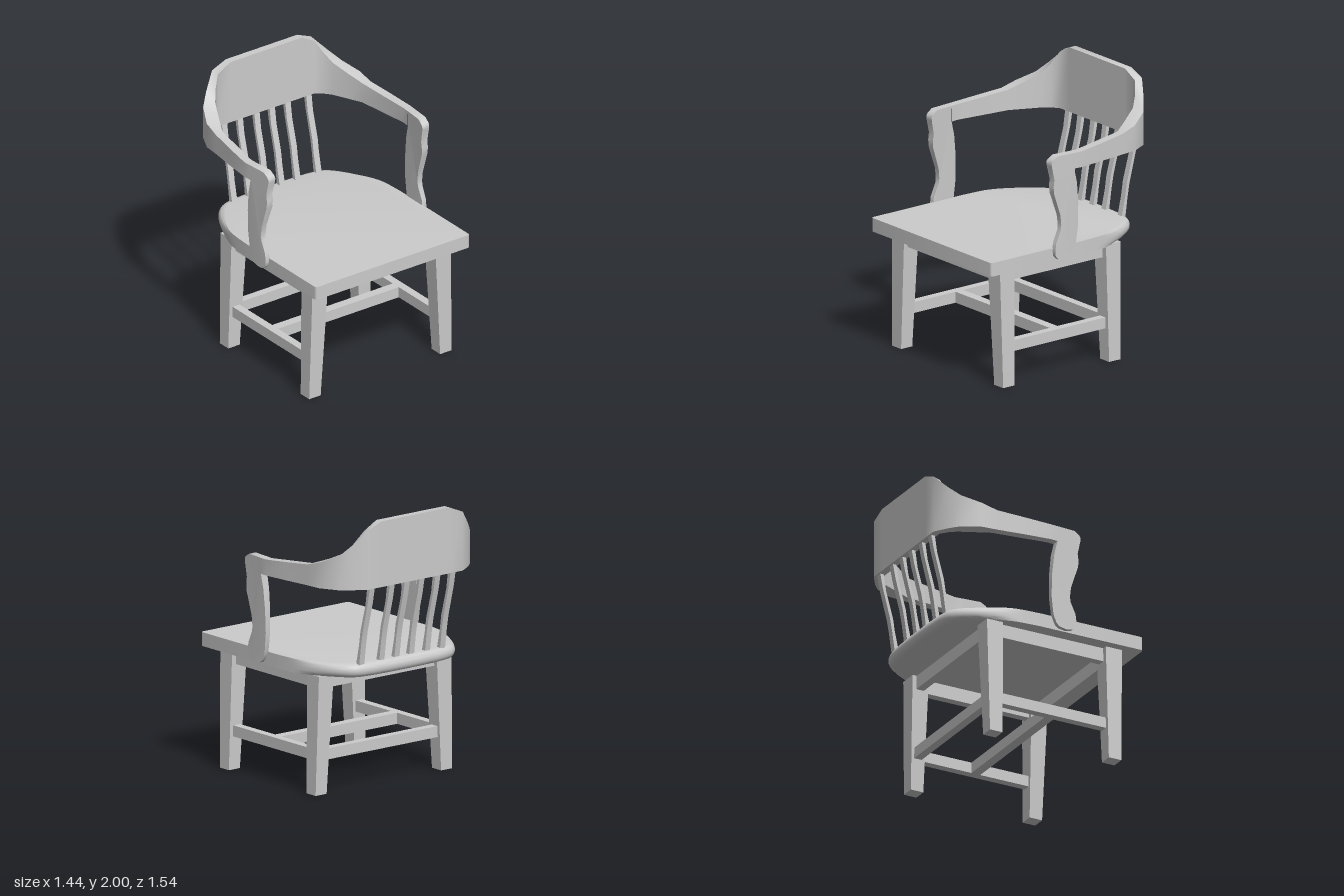
import * as THREE from 'three';
import { toCreasedNormals } from 'three/addons/utils/BufferGeometryUtils.js';

const V2 = (p) => new THREE.Vector2(p[0], p[1]);

export function createModel() {
  const chair = new THREE.Group();
  chair.name = 'armchair';
  const material = new THREE.MeshStandardMaterial({ color: 0xcccccc });

  function add(name, geometry, crease = 0.7) {
    const mesh = new THREE.Mesh(toCreasedNormals(geometry, crease), material);
    mesh.name = name;
    chair.add(mesh);
    return mesh;
  }

  // Box given by its limits
  function bar(name, x0, x1, y0, y1, z0, z1) {
    const g = new THREE.BoxGeometry(x1 - x0, y1 - y0, z1 - z0);
    g.translate((x0 + x1) / 2, (y0 + y1) / 2, (z0 + z1) / 2);
    add(name, g);
  }

  // Apply a rule to every vertex of a geometry
  function moveVertices(g, rule) {
    const pos = g.attributes.position;
    const v = new THREE.Vector3();
    for (let i = 0; i < pos.count; i++) {
      v.fromBufferAttribute(pos, i);
      rule(v);
      pos.setXYZ(i, v.x, v.y, v.z);
    }
    return g;
  }

  // Side profile of [z, y] points, extruded across x and centred on x = 0
  function sideProfile(points, width) {
    const g = new THREE.ExtrudeGeometry(new THREE.Shape(points.map(V2)), { depth: width, bevelEnabled: false });
    g.translate(0, 0, -width / 2);
    return g.rotateY(-Math.PI / 2);
  }

  // Seat: square front, curved back with a rounded rim
  const backHalf = [[0.67, 0.05], [0.655, 0.25], [0.61, 0.41], [0.54, 0.55], [0.46, 0.64], [0.36, 0.675], [0.18, 0.688]];
  const backCurve = [...backHalf, [0, 0.69], ...backHalf.map(([x, y]) => [-x, y]).reverse()];
  const seatShape = new THREE.Shape();
  seatShape.moveTo(-0.65, -0.77);
  seatShape.lineTo(0.65, -0.77);
  seatShape.quadraticCurveTo(0.67, -0.77, 0.67, -0.75);
  seatShape.lineTo(0.67, 0.05);
  seatShape.splineThru(backCurve.slice(1).map(V2));
  seatShape.lineTo(-0.67, -0.75);
  seatShape.quadraticCurveTo(-0.67, -0.77, -0.65, -0.77);
  const seat = new THREE.ExtrudeGeometry(seatShape, { depth: 0.1, steps: 10, bevelEnabled: false, curveSegments: 4 });
  seat.rotateX(-Math.PI / 2).translate(0, 0.86, 0);
  moveVertices(seat, (v) => {
    const t = (v.y - 0.91) / 0.05;
    const round = 1 - Math.sqrt(Math.max(0, 1 - t * t));
    const inset = 1 - 0.06 * round * THREE.MathUtils.smoothstep(-v.z, 0.2, 0.6);
    v.x *= inset;
    v.z *= inset;
  });
  add('seat', seat);

  // Tapered, splayed legs
  for (const side of [1, -1]) {
    for (const [name, z] of [['frontLeg', 0.573], ['rearLeg', -0.378]]) {
      const leg = moveVertices(new THREE.BoxGeometry(1, 1, 1), (v) => {
        const top = v.y > 0;
        v.x = side * (top ? 0.535 : 0.57) + v.x * (top ? 0.135 : 0.1);
        v.z = z + v.z * (top ? 0.13 : 0.1);
        v.y = top ? 0.86 : 0;
      });
      add(name, leg);
    }
    // Side apron and side stretcher
    const x = side * 0.535;
    bar('sideApron', x - 0.03, x + 0.03, 0.76, 0.86, -0.34, 0.54);
    bar('sideStretcher', side * 0.555 - 0.03, side * 0.555 + 0.03, 0.24, 0.32, -0.36, 0.55);
  }

  // Cross aprons and stretchers
  bar('frontApron', -0.49, 0.49, 0.76, 0.86, 0.545, 0.605);
  bar('rearApron', -0.49, 0.49, 0.76, 0.86, -0.41, -0.35);
  bar('middleStretcher', -0.54, 0.54, 0.24, 0.32, 0.06, 0.13);
  bar('rearStretcher', -0.54, 0.54, 0.24, 0.32, -0.41, -0.35);

  // Shaped arm posts, thinner at the foot
  const postOutline = [
    [0.06, 1.64], [0.06, 1.525], [0.035, 1.42], [0.02, 1.27], [0.018, 1.1], [0.035, 0.96], [0.06, 0.9], [0.085, 0.877],
    [0.14, 0.868], [0.19, 0.878], [0.215, 0.905], [0.22, 0.94], [0.212, 1.0], [0.17, 1.09], [0.167, 1.13],
    [0.175, 1.2], [0.232, 1.37], [0.235, 1.42], [0.228, 1.47], [0.25, 1.57], [0.253, 1.595], [0.24, 1.615], [0.2, 1.64],
  ];
  for (const side of [1, -1]) {
    const post = moveVertices(sideProfile(postOutline, 1), (v) => {
      const t = THREE.MathUtils.clamp((1.6 - v.y) / 0.6, 0, 1);
      const outer = THREE.MathUtils.lerp(0.72 - 0.08 * v.z, 0.7, t);
      const inner = THREE.MathUtils.lerp(0.66 - 0.08 * v.z, 0.665, t);
      v.x = v.x * side > 0 ? side * outer : side * inner;
    });
    add('armPost', post);
  }

  // Arm and back rail: [outer x, outer z, inner x, inner z, outer top, inner top]
  const half = [
    [0.715, 0.06, 0.655, 0.06, 1.64, 1.64],
    [0.72, 0, 0.66, 0, 1.64, 1.64],
    [0.7, -0.2, 0.635, -0.2, 1.657, 1.657],
    [0.675, -0.4, 0.61, -0.41, 1.675, 1.675],
    [0.665, -0.52, 0.565, -0.51, 1.71, 1.72],
    [0.6, -0.65, 0.51, -0.63, 1.765, 1.78],
    [0.53, -0.71, 0.47, -0.68, 1.84, 1.85],
    [0.43, -0.775, 0.42, -0.72, 1.95, 1.94],
    [0.31, -0.775, 0.31, -0.72, 2, 2],
  ];
  const stations = [...half, ...half.map(([ox, oz, ix, iz, a, b]) => [-ox, oz, -ix, iz, a, b]).reverse()];
  const positions = [];
  const index = [];
  stations.forEach(([ox, oz, ix, iz, yo, yi], i) => {
    positions.push(ox, 1.525, oz, ox, yo, oz, ix, yi, iz, ix, 1.525, iz);
    if (i === stations.length - 1) return;
    for (let k = 0; k < 4; k++) {
      const a = i * 4 + k, b = i * 4 + ((k + 1) % 4);
      index.push(a, a + 4, b + 4, a, b + 4, b);
    }
  });
  const rail = new THREE.BufferGeometry();
  rail.setAttribute('position', new THREE.Float32BufferAttribute(positions, 3));
  rail.setIndex(index);
  add('backRail', rail);

  // Bent back spindles
  const spindleOutline = [
    [-0.645, 0.94], [-0.667, 1.1], [-0.685, 1.2], [-0.742, 1.42], [-0.765, 1.54],
    [-0.735, 1.54], [-0.715, 1.4], [-0.66, 1.2], [-0.645, 1.1], [-0.61, 0.94],
  ];
  for (const x of [-0.352, -0.215, -0.07, 0.063, 0.2, 0.382]) {
    add('backSpindle', sideProfile(spindleOutline, 0.046)).position.x = x;
  }

  return chair;
}
